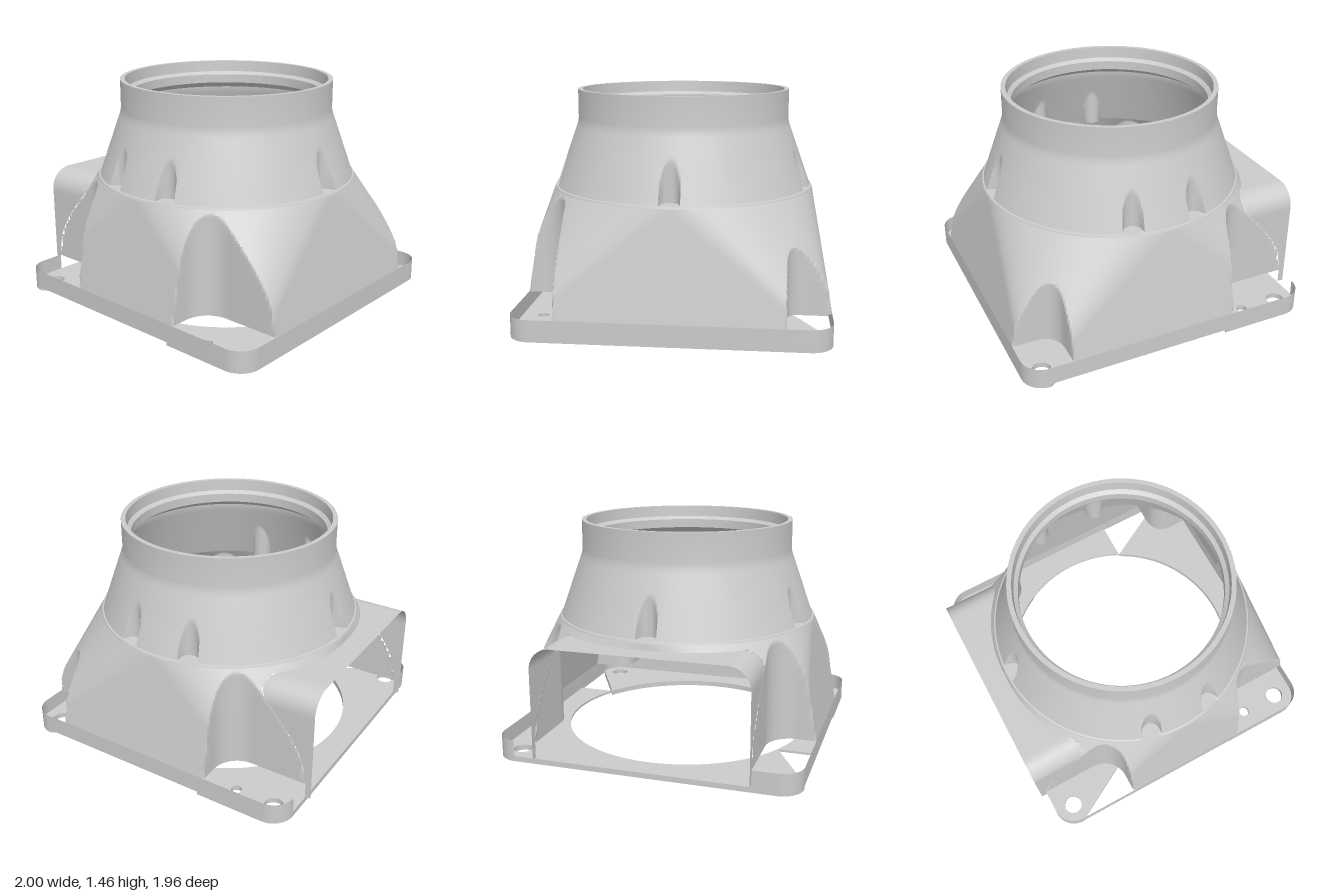
import * as THREE from 'three';
import { toCreasedNormals } from 'three/addons/utils/BufferGeometryUtils.js';

const CX = 0.02;                    // axis of neck and base
const Y0 = 0.14, Y1 = 0.81, Y2 = 1.455; // base top, shoulder, neck rim
const HALF = 0.98, CORNER = 0.14, SHOULDER = 0.865;
const WIN = { z: 0.69, top: 0.77, r: 0.14, u: -1.02 };
const STEPS = 480;
const { PI, abs, sqrt, sin, cos, max, min, hypot } = Math;

const material = new THREE.MeshStandardMaterial({ color: 0xcccccc, side: THREE.DoubleSide });

function addMesh(group, name, geometry) {
  const mesh = new THREE.Mesh(toCreasedNormals(geometry, 0.5), material);
  mesh.name = name;
  group.add(mesh);
}

// Skin over rows of points; skip(centre) leaves a quad open
function sheet(rows, skip = () => false) {
  const n = rows[0].length, pos = [], index = [];
  rows.forEach(row => row.forEach(p => pos.push(p.x, p.y, p.z)));
  for (let j = 0; j < rows.length - 1; j++) {
    for (let i = 0; i < n - 1; i++) {
      const centre = rows[j][i].clone().add(rows[j + 1][i + 1]).multiplyScalar(0.5);
      if (skip(centre)) continue;
      const a = j * n + i, b = a + n;
      index.push(a, b, a + 1, b, b + 1, a + 1);
    }
  }
  const g = new THREE.BufferGeometry();
  g.setAttribute('position', new THREE.Float32BufferAttribute(pos, 3));
  g.setIndex(index);
  return g;
}

const ring = (y, radius) => Array.from({ length: STEPS + 1 }, (_, i) => {
  const a = (i / STEPS) * PI * 2, r = radius(a);
  return new THREE.Vector3(r * cos(a), y, r * sin(a));
});

// Body section: rounded square that shrinks into a circle at the shoulder
function section(y) {
  const t = min(1, max(0, (Y1 - y) / (Y1 - Y0)));
  return { e: t * (HALF - CORNER), R: SHOULDER * (1 - t) + CORNER * t };
}

function hullRadius(a, y) {
  const { e, R } = section(y), c = abs(cos(a)), s = abs(sin(a));
  const r = (e + R) / max(c, s);
  if (r * min(c, s) <= e) return r;
  const b = e * (c + s);
  return b + sqrt(max(0, b * b - 2 * e * e + R * R));
}

// First hit of a ray from the axis on a circle
function nearHit(a, x, z, radius) {
  const b = x * cos(a) + z * sin(a);
  const d = b * b - x * x - z * z + radius * radius;
  return b > 0 && d >= 0 ? b - sqrt(d) : Infinity;
}

// Corner bolt pockets with a filleted inner edge
function pocketRadius(a) {
  const c = cos(a), s = sin(a);
  const [px, pz, f] = c > 0 && s < 0 ? [0.69, 0.70, 0.13] : [0.43, 0.69, 0.17];
  const r = max(px / max(abs(c), 1e-6), pz / max(abs(s), 1e-6));
  if (r * abs(c) < px + f && r * abs(s) < pz + f) {
    return max(r, min(2, nearHit(a, Math.sign(c) * (px + f), Math.sign(s) * (pz + f), f)));
  }
  return r;
}

// Six clearance dents in the cone
const DENTS = [[0.82, 0], [-0.82, 0]];
for (const sx of [-1, 1]) for (const sz of [-1, 1]) DENTS.push([sx * 0.215, sz * 0.797]);
const dentRadius = a => min(...DENTS.map(([x, z]) => nearHit(a, x, z, 0.062)));

const insideWindow = p => {
  const z = abs(p.z), k = WIN.z - WIN.r, yk = WIN.top - WIN.r;
  if (p.x > 0 || z > WIN.z - 0.003 || p.y > WIN.top) return false;
  return z < k || p.y < yk || hypot(z - k, p.y - yk) < WIN.r;
};

function buildBody() {
  const rows = [];
  for (let j = 0; j <= 45; j++) rows.push(Y0 + (WIN.top - Y0) * j / 45);
  rows.push(0.783, 0.797, Y1);
  return sheet(rows.map(y => ring(y, a => min(hullRadius(a, y), pocketRadius(a)))), insideWindow);
}

function buildCone() {
  const coneR = y => SHOULDER - 0.01 - 0.145 * (y - Y1) / 0.41;
  const rows = [ring(Y1, () => SHOULDER), ring(Y1 + 0.012, () => SHOULDER - 0.005)];
  for (let j = 0; j <= 24; j++) {
    const y = 0.825 + (1.22 - 0.825) * j / 24;
    rows.push(ring(y, a => min(coneR(y), dentRadius(a))));
  }
  for (const [r, y] of [[0.703, 1.245], [0.70, 1.27], [0.70, Y2]]) rows.push(ring(y, () => r));
  return sheet(rows);
}

// Side window: arch run outwards from the body surface
function buildWindow() {
  const half = [];
  const k = WIN.z - WIN.r, yk = WIN.top - WIN.r;
  for (let i = 0; i < 24; i++) half.push([WIN.z, 0.045 + (yk - 0.045) * i / 24]);
  for (let i = 0; i < 10; i++) {
    const a = (i / 10) * PI / 2;
    half.push([k + WIN.r * cos(a), yk + WIN.r * sin(a)]);
  }
  for (let i = 0; i < 16; i++) half.push([k * (1 - i / 16), WIN.top]);
  const arch = [...half, [0, WIN.top], ...half.map(([z, y]) => [-z, y]).reverse()];
  const inner = arch.map(([z, y]) => {
    const { e, R } = section(y), d = max(0, abs(z) - e);
    return new THREE.Vector3(-(e + sqrt(max(0, R * R - d * d))), y, z);
  });
  const outer = arch.map(([z, y]) => new THREE.Vector3(WIN.u, y, z));
  return sheet([inner, outer]);
}

// Base edge, open at the window
function buildRim() {
  const k = HALF - CORNER, path = new THREE.Path();
  path.moveTo(-HALF, -WIN.z);
  [[-k, -k, 1], [k, -k, 1.5], [k, k, 0], [-k, k, 0.5]].forEach(([x, z, q]) =>
    path.absarc(x, z, CORNER, q * PI, (q + 0.5) * PI));
  path.lineTo(-HALF, WIN.z);
  const pts = path.getPoints(12);
  return sheet([0.02, Y0].map(y => pts.map(p => new THREE.Vector3(p.x, y, p.y))));
}

// Floor plates around the large bottom opening
const BORE = 0.82, NOTCH = 0.38, BITE = Math.acos(NOTCH / BORE), FLOOR = 0.035;
const plate = (shape, depth) =>
  new THREE.ExtrudeGeometry(shape, { depth, bevelEnabled: false, curveSegments: 32 })
    .rotateX(PI / 2).translate(0, FLOOR, 0);

function buildSidePlate(side) {
  const k = HALF - CORNER, s = new THREE.Shape();
  s.moveTo(NOTCH, -HALF);
  s.absarc(k, -k, CORNER, -PI / 2, 0);
  s.absarc(k, k, CORNER, 0, PI / 2);
  s.lineTo(NOTCH, HALF);
  s.absarc(0, 0, BORE, BITE, -BITE, true);
  // two bolt holes and one small locating hole
  for (const [x, z, r] of [[0.85, 0.845, 0.06], [0.85, -0.845, 0.06], [0.585, 0.845, 0.035]]) {
    s.holes.push(new THREE.Path().absarc(x, z, r, 0, PI * 2, true));
  }
  const g = plate(s, FLOOR);
  return side < 0 ? g.rotateY(PI) : g;
}

function buildNotchPlate(side) {
  const s = new THREE.Shape();
  s.moveTo(NOTCH, HALF);
  s.lineTo(-NOTCH, HALF);
  s.absarc(0, 0, BORE, PI - BITE, BITE, true);
  const g = plate(s, 0.015);
  return side < 0 ? g.rotateY(PI) : g;
}

export function createModel() {
  const group = new THREE.Group();
  group.name = 'ductAdapter';
  const parts = new THREE.Group();
  parts.name = 'housing';
  parts.position.x = CX;
  group.add(parts);

  addMesh(parts, 'body', buildBody());
  addMesh(parts, 'coneAndNeck', buildCone());
  addMesh(parts, 'sideWindow', buildWindow());
  addMesh(parts, 'baseRim', buildRim());
  for (const side of [1, -1]) {
    addMesh(parts, side > 0 ? 'leftFloorPlate' : 'rightFloorPlate', buildSidePlate(side));
    addMesh(parts, side > 0 ? 'frontFloorStrip' : 'backFloorStrip', buildNotchPlate(side));
  }

  // Stepped inner lip of the neck
  const lip = [[0.70, 1.26], [0.64, 1.30], [0.64, 1.36], [0.665, 1.38], [0.67, Y2], [0.70, Y2]];
  addMesh(parts, 'neckLip', new THREE.LatheGeometry(lip.map(([r, y]) => new THREE.Vector2(r, y)), 96));
  return group;
}
